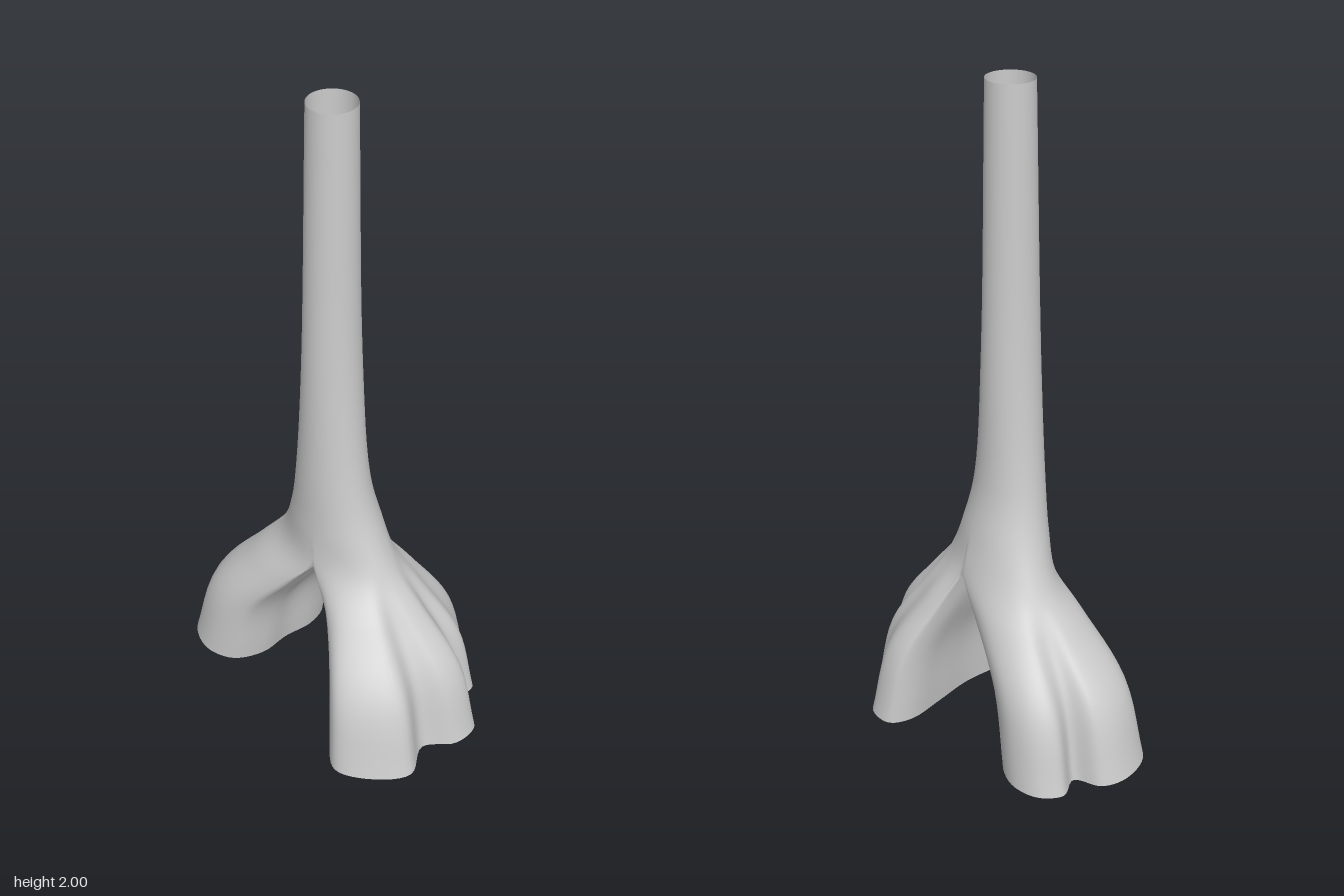
import * as THREE from 'three';
import { mergeGeometries, mergeVertices } from 'three/addons/utils/BufferGeometryUtils.js';

const STEPS = 6; // rows between two neighbouring levels
const DEG = Math.PI / 180;

// trunk sections from the crotch up: y, centre x, centre z, radius x, radius z
const trunk = [
  [0.52, 0.005, 0.035, 0.215, 0.135],
  [0.65, 0.005, 0.045, 0.158, 0.115],
  [0.8, 0.005, 0.058, 0.122, 0.098],
  [1.2, 0.005, 0.06, 0.087, 0.085],
  [2.0, 0.005, 0.055, 0.07, 0.07],
];

// how far a root has drawn in from its ground outline to the crotch section: y, share
const drawIn = [[0, 0], [0.23, 0.21], [0.4, 0.66]];

// ground outlines x, z of the root legs; the first `outer` spans, with lobes and
// creases, run on into the trunk between two angles, the others are the inner wall
const legs = [
  {
    outer: 12, from: 80, to: -88,
    outline: [.21, .18, .25, .28, .33, .33, .43, .27, .49, .17, .43, .07, .485, -.02, .47, -.11,
      .36, -.15, .345, -.22, .28, -.25, .18, -.325, .1, -.31, .085, -.24, .13, -.12, .18, 0, .2, .1],
  },
  {
    outer: 9, from: -88, to: -280,
    outline: [-.24, -.1, -.35, -.135, -.44, -.1, -.47, -.03, -.42, .035, -.485, .09, -.49, .17,
      -.43, .27, -.33, .305, -.24, .27, -.2, .18, -.21, .08, -.205, -.02],
  },
];

// point on a trunk section at an angle in degrees
function trunkPoint([y, cx, cz, rx, rz], angle) {
  return new THREE.Vector3(cx + rx * Math.cos(angle * DEG), y, cz + rz * Math.sin(angle * DEG));
}

// root points from the ground up towards a point of the crotch section
function rootPoints(ground, crotch) {
  return drawIn.map(([y, share]) => ground.clone().lerp(crotch, share).setY(y));
}

// smooth run through the level points
function run(points) {
  return new THREE.CatmullRomCurve3(points).getPoints((points.length - 1) * STEPS);
}

// surface from neighbouring columns of points
function skin(columns) {
  const rows = columns[0].length, index = [];
  for (let i = 0; i < columns.length - 1; i++) {
    for (let j = 0; j < rows - 1; j++) {
      const a = i * rows + j, b = a + rows;
      index.push(a, b, a + 1, b, b + 1, a + 1);
    }
  }
  const geometry = new THREE.BufferGeometry().setFromPoints(columns.flat());
  geometry.setIndex(index);
  return geometry;
}

function legSurfaces({ outer, from, to, outline }) {
  const corners = [];
  for (let i = 0; i < outline.length; i += 2) {
    corners.push(new THREE.Vector3(outline[i], 0, outline[i + 1]));
  }
  const ground = new THREE.CatmullRomCurve3(corners, true);
  const count = corners.length;

  // outside of the leg with its half of the trunk
  const outside = [];
  const n = outer * 6;
  for (let i = 0; i <= n; i++) {
    const u = i / n;
    const high = trunk.map((section) => trunkPoint(section, from + (to - from) * u));
    const low = rootPoints(ground.getPoint(u * outer / count), high[0]);
    if (i === 0 || i === n) {
      // the columns through the crotch bend there
      outside.push([...run([...low, high[0]]), ...run(high).slice(1)]);
    } else {
      outside.push(run([...low, ...high]));
    }
  }

  // inner wall, up to the crotch line
  const inside = [];
  const start = trunkPoint(trunk[0], to), end = trunkPoint(trunk[0], from);
  for (let i = 0; i <= 20; i++) {
    const u = i / 20;
    const crotch = start.clone().lerp(end, u);
    const foot = ground.getPoint(((outer + u * (count - outer)) / count) % 1);
    inside.push(run([...rootPoints(foot, crotch), crotch]));
  }
  return [skin(outside), skin(inside)];
}

export function createModel() {
  const group = new THREE.Group();
  group.name = 'treeTrunk';

  const geometry = mergeVertices(mergeGeometries(legs.flatMap(legSurfaces)), 1e-4);
  geometry.computeVertexNormals();

  // hollow shell, open at the top and under the roots
  const shell = new THREE.Mesh(
    geometry,
    new THREE.MeshStandardMaterial({ color: 0xcccccc, side: THREE.DoubleSide }),
  );
  shell.name = 'trunkAndRoots';
  group.add(shell);
  return group;
}
